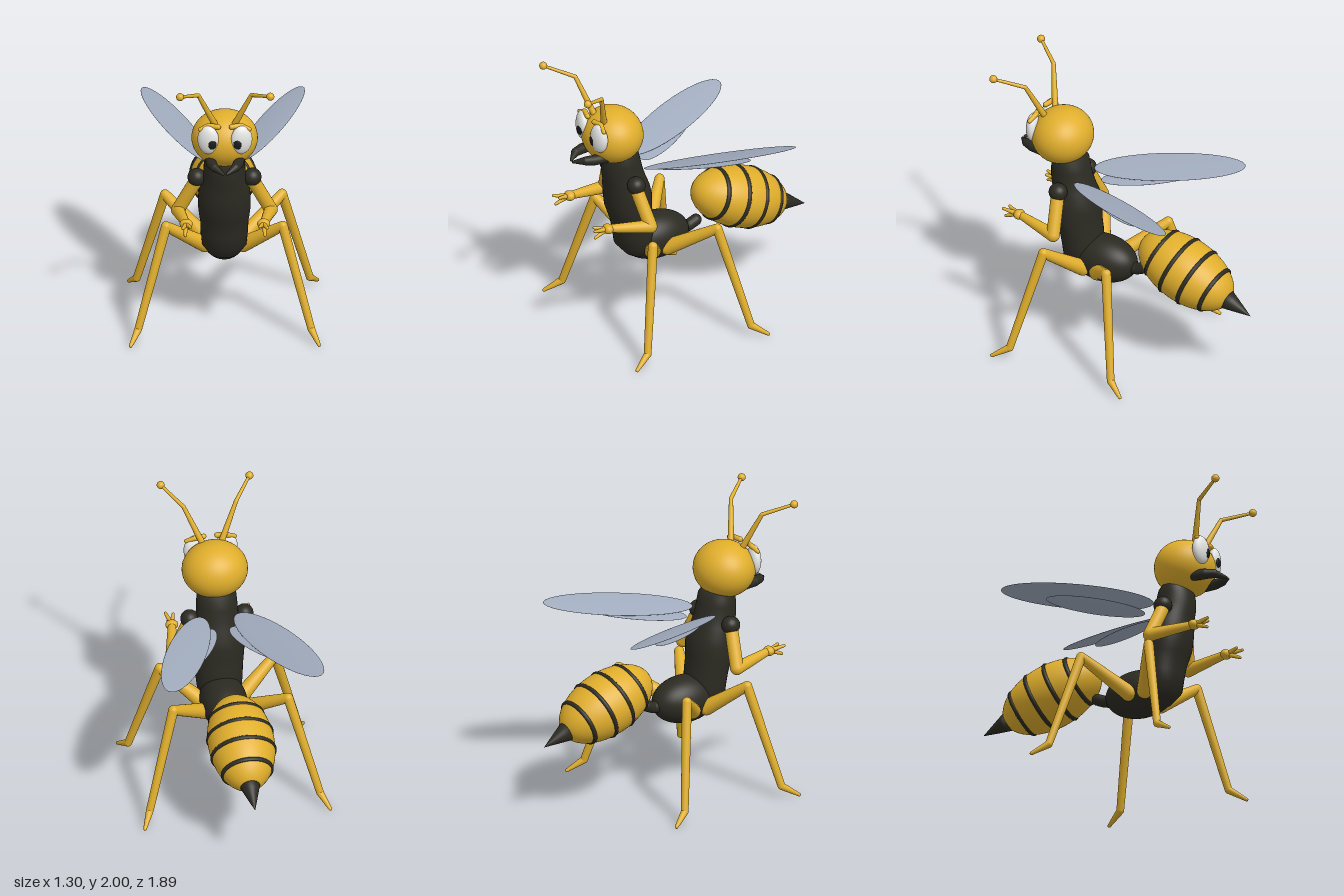
import * as THREE from 'three';
import { mergeVertices } from 'three/addons/utils/BufferGeometryUtils.js';

const material = (name, color) => {
  const m = new THREE.MeshStandardMaterial({ color });
  m.name = name;
  return m;
};

export function createModel() {
  const yellow = material('yellow', 0xe0ae2c);
  const black = material('black', 0x2b2a22);
  const white = material('eyeWhite', 0xf0f0ee);
  const pupilBlack = material('pupilBlack', 0x1a1a1a);
  const wingGrey = material('wingGrey', 0xa0abbd);

  const model = new THREE.Group();
  model.name = 'waspCreature';
  const V = (x, y, z) => new THREE.Vector3(x, y, z);

  function add(name, geometry, mat, parent = model) {
    const mesh = new THREE.Mesh(geometry, mat);
    mesh.name = name;
    parent.add(mesh);
    return mesh;
  }

  function ellipsoid(name, pos, radii, mat, parent = model) {
    const mesh = add(name, new THREE.SphereGeometry(1, 40, 28), mat, parent);
    mesh.position.set(...pos);
    mesh.scale.set(...radii);
    return mesh;
  }

  // Tapered limb through points [x, y, z, radius], with a ball at every joint
  function limb(name, side, points, mat, parent = model) {
    const group = new THREE.Group();
    group.name = name;
    parent.add(group);
    points.forEach(([x, y, z, r], i) => {
      const end = V(x * side, y, z);
      const ball = add(name + 'Joint', new THREE.SphereGeometry(r, 20, 14), mat, group);
      ball.position.copy(end);
      if (i === 0) return;
      const [px, py, pz, pr] = points[i - 1];
      const start = V(px * side, py, pz);
      const dir = end.clone().sub(start);
      const bone = add(name + 'Segment', new THREE.CylinderGeometry(r, pr, dir.length(), 20, 1, true), mat, group);
      bone.position.copy(start).add(end).multiplyScalar(0.5);
      bone.quaternion.setFromUnitVectors(V(0, 1, 0), dir.normalize());
    });
    return group;
  }

  // Torso: elliptical rings [y, centre z, half width, half depth]
  const rings = [
    [0.52, 0.36, 0.002, 0.002], [0.54, 0.36, 0.10, 0.09], [0.62, 0.385, 0.15, 0.135],
    [0.72, 0.395, 0.16, 0.138], [0.80, 0.405, 0.163, 0.145], [0.85, 0.418, 0.17, 0.148],
    [0.92, 0.432, 0.178, 0.158], [1.0, 0.437, 0.178, 0.163], [1.07, 0.448, 0.172, 0.157],
    [1.13, 0.462, 0.155, 0.146], [1.2, 0.48, 0.142, 0.142], [1.27, 0.488, 0.14, 0.133],
    [1.33, 0.49, 0.135, 0.12], [1.37, 0.495, 0.11, 0.1], [1.38, 0.5, 0.002, 0.002],
  ];
  let torso = new THREE.LatheGeometry(rings.map(([y, , w]) => new THREE.Vector2(w, y)), 40);
  const pos = torso.attributes.position;
  for (let i = 0; i < pos.count; i++) {
    const [, zc, w, d] = rings[i % rings.length];
    pos.setZ(i, zc + pos.getZ(i) * d / w);
  }
  torso.deleteAttribute('normal');
  torso.deleteAttribute('uv');
  torso = mergeVertices(torso);
  torso.computeVertexNormals();
  add('torso', torso, black);
  ellipsoid('hips', [0, 0.625, 0.225], [0.16, 0.165, 0.25], black);
  limb('waistStalk', 1, [[0, 0.61, 0.05, 0.05], [0, 0.62, -0.04, 0.04], [0, 0.645, -0.095, 0.04]], black);

  // Striped rear abdomen, long axis on local z, tilted down at the back
  const abdomen = new THREE.Group();
  abdomen.name = 'abdomen';
  abdomen.position.set(0, 0.735, -0.43);
  abdomen.rotation.x = -0.37;
  model.add(abdomen);
  const [ax, ay, az] = [0.226, 0.212, 0.372];
  ellipsoid('abdomenShell', [0, 0, 0], [ax, ay, az], yellow, abdomen);
  for (const z of [0.207, 0.06, -0.087, -0.236]) {
    const k = Math.sqrt(1 - (z / az) ** 2);
    const band = add('abdomenStripe', new THREE.TorusGeometry(1, 0.075, 10, 56), black, abdomen);
    band.position.z = z;
    band.scale.set(ax * k * 0.965, ay * k * 0.965, 0.22);
  }
  const stinger = add('stinger', new THREE.LatheGeometry(
    [[0, 0], [0.075, 0], [0.055, 0.06], [0.028, 0.14], [0, 0.22]].map(p => new THREE.Vector2(...p)), 28), black, abdomen);
  stinger.rotation.x = -Math.PI / 2;
  stinger.position.z = -0.33;

  // Head
  ellipsoid('head', [0, 1.495, 0.555], [0.225, 0.194, 0.208], yellow);

  // Flat wing lying in the plane y = c.y + a(x - c.x) + b(z - c.z)
  function wing(name, side, c, yaw, a, b, length, width) {
    const u = V(side * Math.sin(yaw), a * Math.sin(yaw) - b * Math.cos(yaw), -Math.cos(yaw)).normalize();
    const n = V(-a * side, 1, -b).normalize();
    const mesh = ellipsoid(name, [c[0] * side, c[1], c[2]], [length, 0.008, width], wingGrey);
    mesh.quaternion.setFromRotationMatrix(new THREE.Matrix4().makeBasis(u, n, u.clone().cross(n)));
  }

  for (const [side, label] of [[1, 'left'], [-1, 'right']]) {
    // Face
    const eye = ellipsoid(label + 'Eye', [side * 0.113, 1.557, 0.722], [0.074, 0.104, 0.044], white);
    eye.rotation.y = side * 0.25;
    const pupil = ellipsoid(label + 'Pupil', [side * 0.085, 1.54, 0.761], [0.028, 0.037, 0.012], pupilBlack);
    pupil.rotation.y = -side * 0.1;
    limb(label + 'Eyebrow', side, [[0.168, 1.632, 0.715, 0.014], [0.11, 1.655, 0.705, 0.018], [0.045, 1.652, 0.72, 0.018]], yellow);
    limb(label + 'Mandible', side, [[0.1, 1.385, 0.66, 0.036], [0.09, 1.385, 0.74, 0.036],
      [0.07, 1.385, 0.8, 0.03], [0.015, 1.368, 0.865, 0.01]], black);
    limb(label + 'Antenna', side, [[0.07, 1.65, 0.66, 0.022], [0.18, 1.9, 0.74, 0.014], [0.305, 1.973, 0.918, 0.01]], yellow);
    ellipsoid(label + 'AntennaTip', [side * 0.305, 1.973, 0.918], [0.027, 0.027, 0.027], yellow);

    // Arms with three-fingered hands
    ellipsoid(label + 'Shoulder', [side * 0.188, 1.16, 0.475], [0.062, 0.062, 0.064], black);
    limb(label + 'Arm', side, [[0.195, 1.13, 0.475, 0.046], [0.315, 0.895, 0.435, 0.046], [0.262, 0.935, 0.735, 0.027]], yellow);
    ellipsoid(label + 'Hand', [side * 0.262, 0.935, 0.738], [0.044, 0.034, 0.036], yellow);
    for (const tip of [[0.285, 0.955, 0.85], [0.235, 0.955, 0.83], [0.27, 0.895, 0.84]])
      limb(label + 'Finger', side, [[0.262, 0.935, 0.745, 0.018], [...tip, 0.01]], yellow);

    // Legs
    limb(label + 'FrontLeg', side, [[0.13, 0.58, 0.315, 0.055], [0.395, 0.785, 0.463, 0.034],
      [0.585, 0.085, 0.612, 0.026], [0.637, 0.014, 0.722, 0.012]], yellow);
    limb(label + 'HindLeg', side, [[0.13, 0.58, 0.2, 0.055], [0.395, 0.785, -0.038, 0.034],
      [0.585, 0.085, -0.192, 0.026], [0.637, 0.014, -0.297, 0.012]], yellow);

    // Wings
    wing(label + 'UpperWing', side, [0.32, 1.28, -0.1], 0.41, 0.3, 0.02, 0.52, 0.13);
    wing(label + 'LowerWing', side, [0.24, 1.222, 0], 0.56, 0.2, 0, 0.34, 0.095);
  }

  return model;
}
